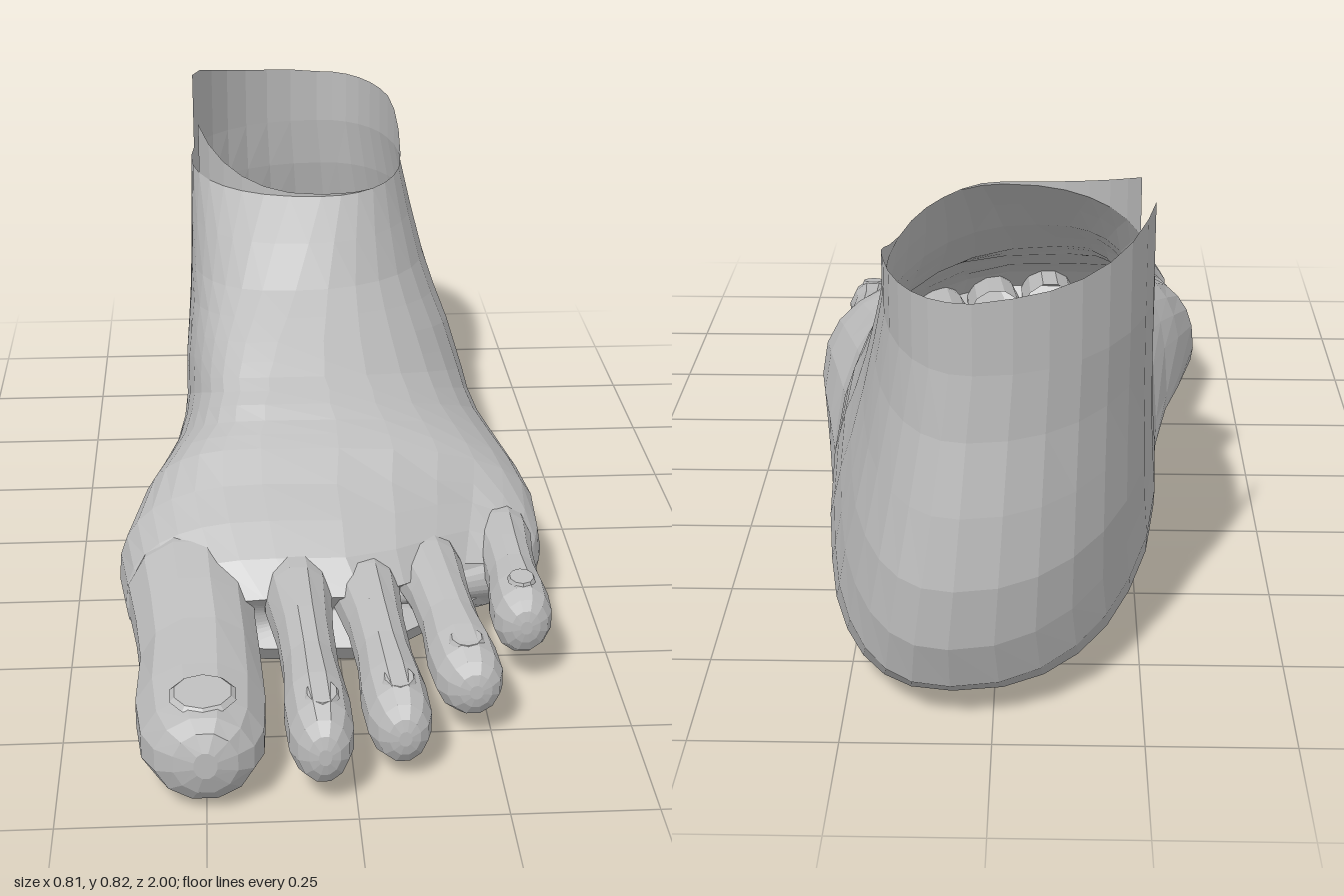
import * as THREE from 'three';

const SIDES = 32;
const mix = THREE.MathUtils.lerp;
const bend = (v, n) => Math.sign(v) * Math.pow(Math.abs(v), 2 / n);

// Skins a list of closed loops; optionally closes the last one, or skips some quads
function loft(loops, capEnd = false, skip = () => false) {
  const n = loops[0].length, pos = [], idx = [];
  loops.forEach(l => l.forEach(p => pos.push(p.x, p.y, p.z)));
  for (let i = 0; i + 1 < loops.length; i++) {
    for (let j = 0; j < n; j++) {
      const k = (j + 1) % n;
      if (skip(loops[i][j], loops[i][k])) continue;
      const a = i * n + j, b = i * n + k, c = a + n, d = b + n;
      idx.push(a, b, c, b, d, c);
    }
  }
  if (capEnd) {
    const last = loops[loops.length - 1], mid = new THREE.Vector3();
    last.forEach(p => mid.addScaledVector(p, 1 / n));
    const c = pos.length / 3, o = (loops.length - 1) * n;
    pos.push(mid.x, mid.y, mid.z);
    for (let j = 0; j < n; j++) idx.push(c, o + j, o + (j + 1) % n);
  }
  const g = new THREE.BufferGeometry();
  g.setAttribute('position', new THREE.Float32BufferAttribute(pos, 3));
  g.setIndex(idx);
  g.computeVertexNormals();
  return g;
}

// Sections fan from the level ankle to the upright ball of the foot, in two lists:
// instep z, y, sole z, y, inner x, outer x
const SECTIONS = [
  [-0.17, 0.69, -0.945, 0.63, -0.268, 0.195],
  [-0.08, 0.62, -0.955, 0.52, -0.27, 0.215],
  [0.0, 0.55, -0.98, 0.40, -0.272, 0.238],
  [0.06, 0.515, -0.998, 0.28, -0.275, 0.262],
  [0.11, 0.485, -0.99, 0.17, -0.28, 0.286],
  [0.15, 0.46, -0.955, 0.08, -0.285, 0.302],
  [0.18, 0.44, -0.88, 0.025, -0.285, 0.314],
  [0.21, 0.425, -0.75, 0.0, -0.285, 0.32],
  [0.24, 0.41, -0.55, 0.005, -0.29, 0.332],
  [0.27, 0.39, -0.3, 0.03, -0.305, 0.355],
  [0.30, 0.375, -0.05, 0.04, -0.335, 0.382],
  [0.33, 0.36, 0.15, 0.035, -0.37, 0.4],
  [0.40, 0.32, 0.38, 0.02, -0.41, 0.4],
  [0.48, 0.285, 0.50, 0.025, -0.395, 0.39],
  [0.55, 0.245, 0.57, 0.045, -0.36, 0.37],
  [0.60, 0.19, 0.60, 0.085, -0.31, 0.335],
];
// ridge x, heel x, widest fraction, upper roundness inner and outer, lower roundness inner and outer, toe slant
const FORM = [
  [0.0, 0.03, 0.47, 2.3, 2.1, 2.1, 2.2, 0], [-0.03, 0.04, 0.48, 2.6, 2.1, 2.1, 2.2, 0],
  [-0.06, 0.05, 0.5, 2.8, 2.15, 2.1, 2.3, 0], [-0.08, 0.06, 0.5, 3, 2.2, 2.1, 2.4, 0],
  [-0.1, 0.07, 0.51, 3.1, 2.25, 2.1, 2.4, 0], [-0.11, 0.07, 0.5, 3.1, 2.3, 2.2, 2.5, 0],
  [-0.12, 0.07, 0.48, 3.1, 2.35, 2.3, 2.6, 0], [-0.12, 0.06, 0.45, 3, 2.45, 2.5, 2.6, 0],
  [-0.13, 0.05, 0.41, 3, 2.5, 2.6, 2.6, 0], [-0.13, 0.03, 0.37, 2.9, 2.55, 2.6, 2.6, 0],
  [-0.14, 0.02, 0.34, 2.9, 2.55, 2.6, 2.6, 0], [-0.14, 0.02, 0.32, 2.8, 2.5, 2.6, 2.6, 0.1],
  [-0.14, 0.02, 0.35, 2.5, 2.4, 2.6, 2.6, 0.5], [-0.13, 0.02, 0.38, 2.5, 2.4, 2.6, 2.6, 0.9],
  [-0.12, 0.02, 0.42, 2.5, 2.4, 2.6, 2.6, 1], [-0.08, 0.02, 0.45, 2.5, 2.5, 2.6, 2.6, 1],
];

function sectionLoop([tz, ty, bz, by, xl, xr], row) {
  const [ridge, heel, f, upIn, upOut, lowIn, lowOut, slant] = FORM[row];
  return Array.from({ length: SIDES }, (_, j) => {
    const a = j / SIDES * Math.PI * 2, c = Math.cos(a), s = Math.sin(a);
    const n = s < 0 ? (c < 0 ? lowIn : lowOut) : (c < 0 ? upIn : upOut);
    const xc = s < 0 ? mix(ridge, heel, Math.min(1, -2 * s)) : ridge;
    const v = f + bend(s, n) * (s > 0 ? 1 - f : f);
    const x = xc + bend(c, n) * (c > 0 ? xr - xc : xc - xl);
    const z = mix(bz, tz, v) - slant * Math.min(0.15, 0.75 * Math.max(0, x - 0.05));
    const arch = 0.08 * Math.max(0, -c) * Math.max(0, -s) * Math.exp(-Math.pow((z + 0.1) / 0.28, 2));
    return new THREE.Vector3(x, mix(by, ty, v) + arch, z);
  });
}

// Toe sections: z, centre x, centre y, half width, half height
function toeGeometry(rows) {
  const n = 12;
  return loft(rows.map(([z, cx, cy, rx, ry]) => Array.from({ length: n }, (_, j) => {
    const a = (j + 0.5) / n * Math.PI * 2;
    return new THREE.Vector3(cx + rx * Math.cos(a), cy + ry * Math.sin(a), z);
  })), true);
}

// Uneven ankle edge, higher on the inner side
function rimHeight(x, z) {
  const ramp = (z0, y0, z1, y1) => mix(y0, y1, THREE.MathUtils.clamp((z - z0) / (z1 - z0), 0, 1));
  if (x < -0.03) return z < -0.55 ? ramp(-0.945, 0.755, -0.7, 0.82) : ramp(-0.4, 0.78, -0.17, 0.695);
  if (z < -0.7) return ramp(-0.945, 0.75, -0.7, 0.745);
  return z < -0.4 ? ramp(-0.7, 0.745, -0.4, 0.655) : ramp(-0.4, 0.655, -0.17, 0.695);
}

export function createModel() {
  const foot = new THREE.Group();
  foot.name = 'foot';
  const skin = new THREE.MeshStandardMaterial({ color: 0xbcbcbc, flatShading: true, side: THREE.DoubleSide });
  skin.name = 'grey skin';
  const add = (name, geometry) => {
    const m = new THREE.Mesh(geometry, skin);
    m.name = name;
    foot.add(m);
    return m;
  };

  // Ankle, heel, sole and instep in one skin
  const loops = SECTIONS.map(sectionLoop);
  add('footBody', loft(loops, true));

  // Ankle collar with the notch on its inner side
  const lower = loops[0];
  const upper = lower.map(p => new THREE.Vector3(p.x, Math.max(p.y, rimHeight(p.x, p.z)), p.z));
  add('ankleCollar', loft([upper, lower], false, (p, q) => {
    const z = (p.z + q.z) / 2;
    return p.x < -0.1 && z > -0.69 && z < -0.4;
  }));

  // Big toe
  add('bigToe', toeGeometry([
    [0.36, -0.27, 0.15, 0.1, 0.11],
    [0.50, -0.275, 0.14, 0.118, 0.122],
    [0.60, -0.267, 0.13, 0.11, 0.112],
    [0.70, -0.258, 0.112, 0.108, 0.106],
    [0.82, -0.258, 0.1, 0.114, 0.099],
    [0.91, -0.255, 0.096, 0.106, 0.092],
    [0.96, -0.252, 0.1, 0.085, 0.08],
    [0.985, -0.25, 0.107, 0.055, 0.058],
    [0.998, -0.25, 0.11, 0.02, 0.025],
  ]));

  // Small toes: base x, y, z, tip x, y, z, half width, half height
  const toes = [
    ['secondToe', -0.09, 0.175, 0.45, -0.055, 0.112, 0.988, 0.056, 0.078],
    ['thirdToe', 0.03, 0.17, 0.43, 0.083, 0.095, 0.915, 0.056, 0.073],
    ['fourthToe', 0.145, 0.17, 0.36, 0.215, 0.112, 0.805, 0.06, 0.068],
    ['littleToe', 0.31, 0.16, 0.27, 0.325, 0.138, 0.638, 0.054, 0.068],
  ];
  // Position along the toe, width, height, rise of the knuckle
  const shape = [[0, 1.15, 1, 0], [0.25, 1.1, 0.97, 0.012], [0.45, 0.9, 0.87, 0.016], [0.62, 0.87, 0.87, 0.01],
    [0.78, 1.02, 1.02, 0], [0.9, 0.99, 0.99, -0.005], [0.96, 0.78, 0.78, -0.003], [0.99, 0.48, 0.48, 0], [1, 0.2, 0.2, 0]];
  for (const [name, bx, by, bz, tx, ty, tz, w, h] of toes) {
    add(name, toeGeometry(shape.map(([t, rw, rh, up]) =>
      [mix(bz, tz, t), mix(bx, tx, t), mix(by, ty, t) + up, w * rw, h * rh])));
  }

  // Toenails: thin rounded plates lying along the toe tops
  const nails = [[-0.253, 0.187, 0.9, 0.058, 0.05], [-0.057, 0.187, 0.91, 0.03, 0.035],
    [0.077, 0.168, 0.84, 0.03, 0.032], [0.204, 0.179, 0.735, 0.032, 0.03], [0.322, 0.206, 0.575, 0.026, 0.026]];
  nails.forEach(([x, y, z, rx, rz], i) => {
    const nail = add('toenail' + (i + 1), new THREE.CylinderGeometry(0.85, 1, 1, 10));
    nail.scale.set(rx, 0.008, rz);
    nail.position.set(x, y, z);
    nail.rotation.x = 0.15;
  });
  return foot;
}
